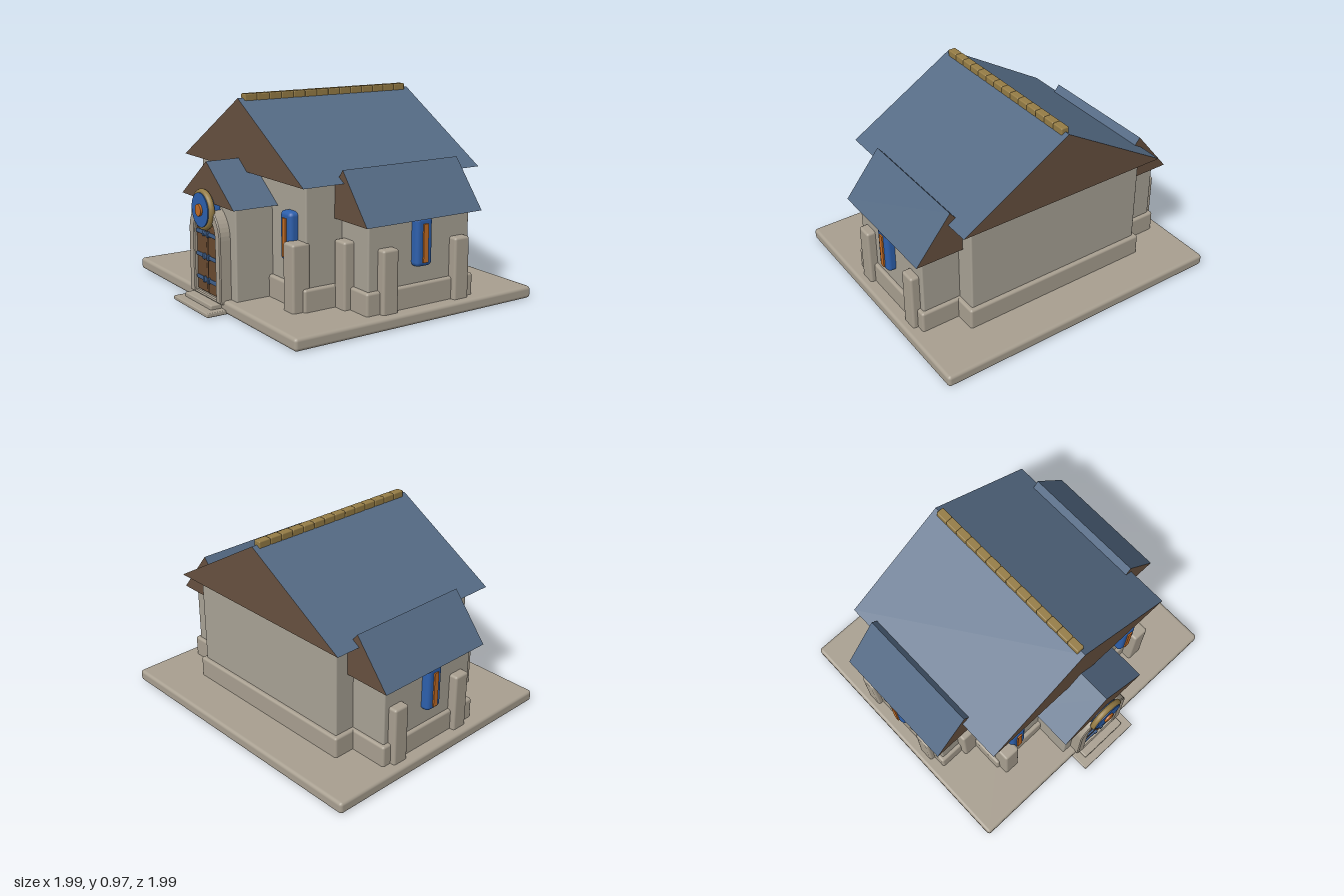
import * as THREE from 'three';
import { RoundedBoxGeometry } from 'three/addons/geometries/RoundedBoxGeometry.js';

const mat = (name, color) => {
  const m = new THREE.MeshStandardMaterial({ color });
  m.name = name;
  return m;
};

export function createModel() {
  const wall = mat('wall stone', 0xa8a295);
  const trim = mat('trim stone', 0xa89f90);
  const slate = mat('blue slate', 0x546a84);
  const timber = mat('brown timber', 0x66503f);
  const doorWood = mat('door wood', 0x6a4a30);
  const gold = mat('gold', 0x957c45);
  const glass = mat('blue glass', 0x2d60ad);
  const amber = mat('amber glass', 0xc46c24);
  const iron = mat('blue iron', 0x3f5f8a);

  const model = new THREE.Group();
  model.name = 'house';
  // the house is laid out facing +z, then turned by 45 degrees
  const house = new THREE.Group();
  house.name = 'turnedHouse';
  house.rotation.y = -Math.PI / 4;
  model.add(house);

  const add = (name, geometry, material, parent = house) => {
    const mesh = new THREE.Mesh(geometry, material);
    mesh.name = name;
    parent.add(mesh);
    return mesh;
  };
  // box given by its limits, with optional rounded edges
  const box = (name, material, [x0, x1], [y0, y1], [z0, z1], r = 0, parent = house) => {
    const s = [x1 - x0, y1 - y0, z1 - z0];
    const g = r ? new RoundedBoxGeometry(...s, 2, r) : new THREE.BoxGeometry(...s);
    const mesh = add(name, g, material, parent);
    mesh.position.set((x0 + x1) / 2, (y0 + y1) / 2, (z0 + z1) / 2);
    return mesh;
  };
  // gabled prism along z: slate on the slopes, timber on gables and underside
  const roof = (name, x, halfWidth, y0, y1, z0, z1, parent = house) => {
    const shape = new THREE.Shape();
    shape.moveTo(-halfWidth, 0);
    shape.lineTo(halfWidth, 0);
    shape.lineTo(0, y1 - y0);
    const g = new THREE.ExtrudeGeometry(shape, { depth: z1 - z0, bevelEnabled: false });
    g.clearGroups();
    const n = g.attributes.normal;
    for (let i = 0; i < n.count; i += 3) g.addGroup(i, 3, n.getY(i) > 0.1 ? 1 : 0);
    add(name, g, [timber, slate], parent).position.set(x, y0, z0);
  };
  // tall window facing +z, with its back at the group's origin
  const windowUnit = (name, x, y, z, turn, parent = house) => {
    const w = new THREE.Group();
    w.name = name;
    box('windowPane', glass, [-0.045, 0.045], [0, 0.225], [-0.02, 0.04], 0.02, w);
    box('windowLight', amber, [-0.013, 0.013], [0.02, 0.195], [0.02, 0.047], 0, w);
    w.position.set(x, y, z);
    w.rotation.y = turn;
    parent.add(w);
  };

  // ground slab and entrance steps
  box('groundSlab', trim, [-0.755, 0.755], [0.004, 0.062], [-0.66, 0.66], 0.016);
  box('lowerStep', trim, [-0.17, 0.17], [0.004, 0.024], [0.5, 0.755], 0.005);
  box('upperStep', trim, [-0.13, 0.13], [0.01, 0.045], [0.5, 0.715], 0.006);

  // main hall
  box('hallWalls', wall, [-0.48, 0.48], [0.05, 0.63], [-0.43, 0.43], 0.008);
  box('hallPlinth', trim, [-0.5, 0.5], [0.05, 0.165], [-0.45, 0.45], 0.012);
  roof('hallRoof', 0, 0.552, 0.625, 0.955, -0.488, 0.488);
  const caps = 14, capLength = 0.92 / caps;
  for (let i = 0; i < caps; i++) {
    const z = -0.46 + i * capLength;
    box('ridgeCap', gold, [-0.02, 0.02], [0.938, 0.975], [z, z + capLength], 0.006);
  }

  for (const side of [-1, 1]) {
    // front wall buttress and window
    const bx = side * 0.442;
    box('frontButtress', trim, [bx - 0.042, bx + 0.042], [0.05, 0.37], [0.41, 0.5], 0.012);
    windowUnit('frontWindow', side * 0.372, 0.27, 0.43, 0);

    // side wing, built facing +z and turned outwards
    const wing = new THREE.Group();
    wing.name = side > 0 ? 'leftWing' : 'rightWing';
    house.add(wing);
    const span = (a, b) => (side > 0 ? [a, b] : [-b, -a]);
    box('wingWalls', wall, span(0.4, 0.675), [0.05, 0.475], [-0.325, 0.24], 0.008, wing);
    box('wingPlinth', trim, span(0.4, 0.693), [0.05, 0.165], [-0.343, 0.258], 0.012, wing);
    roof('wingRoof', side * 0.54, 0.18, 0.46, 0.683, -0.362, 0.28, wing);
    for (const z of [-0.255, 0.147]) {
      box('wingButtress', trim, span(0.65, 0.718), [0.05, 0.35], [z - 0.042, z + 0.042], 0.012, wing);
    }
    box('wingFrontButtress', trim, span(0.488, 0.57), [0.05, 0.37], [0.2, 0.29], 0.012, wing);
    windowUnit('wingWindow', side * 0.675, 0.245, -0.04, side * Math.PI / 2, wing);
  }

  // entrance porch
  const porch = new THREE.Group();
  porch.name = 'porch';
  house.add(porch);
  box('porchWalls', wall, [-0.2, 0.2], [0.05, 0.51], [0.4, 0.62], 0.008, porch);
  roof('porchRoof', 0, 0.25, 0.495, 0.68, 0.4, 0.656, porch);

  // round-headed outline used for the surround and the door
  const arch = (Type, r, y0, spring) => {
    const s = new Type();
    s.moveTo(-r, y0);
    s.lineTo(r, y0);
    s.lineTo(r, spring);
    s.absarc(0, spring, r, 0, Math.PI, false);
    s.closePath();
    return s;
  };
  const surround = arch(THREE.Shape, 0.145, 0.05, 0.34);
  surround.holes.push(arch(THREE.Path, 0.108, 0.051, 0.34));
  add('doorSurround', new THREE.ExtrudeGeometry(surround, {
    depth: 0.055, bevelEnabled: true, bevelSize: 0.005, bevelThickness: 0.005, bevelSegments: 1, curveSegments: 12,
  }), trim, porch).position.z = 0.615;
  add('doorBack', new THREE.ExtrudeGeometry(arch(THREE.Shape, 0.106, 0.05, 0.34), {
    depth: 0.03, bevelEnabled: false, curveSegments: 12,
  }), doorWood, porch).position.z = 0.615;
  for (const side of [-1, 1]) {
    const x = side * 0.053;
    box('doorLeaf', doorWood, [x - 0.049, x + 0.049], [0.062, 0.38], [0.63, 0.66], 0.005, porch);
    for (const y of [0.125, 0.235, 0.345]) {
      box('doorStrap', iron, [x - 0.043, x + 0.043], [y - 0.009, y + 0.009], [0.65, 0.668], 0.004, porch);
      box('strapEnd', iron, [side * 0.02 - 0.009, side * 0.02 + 0.009], [y - 0.014, y + 0.014], [0.65, 0.672], 0.004, porch);
    }
  }

  // round window above the door
  const disc = (name, r, z0, z1, material) => {
    const g = new THREE.CylinderGeometry(r, r, z1 - z0, 28).rotateX(Math.PI / 2);
    add(name, g, material, porch).position.set(0, 0.46, (z0 + z1) / 2);
  };
  add('roundWindowFrame', new THREE.TorusGeometry(0.082, 0.015, 8, 32), gold, porch).position.set(0, 0.46, 0.675);
  disc('roundWindowPane', 0.08, 0.63, 0.694, glass);
  disc('roundWindowCentre', 0.028, 0.68, 0.704, amber);

  return model;
}
